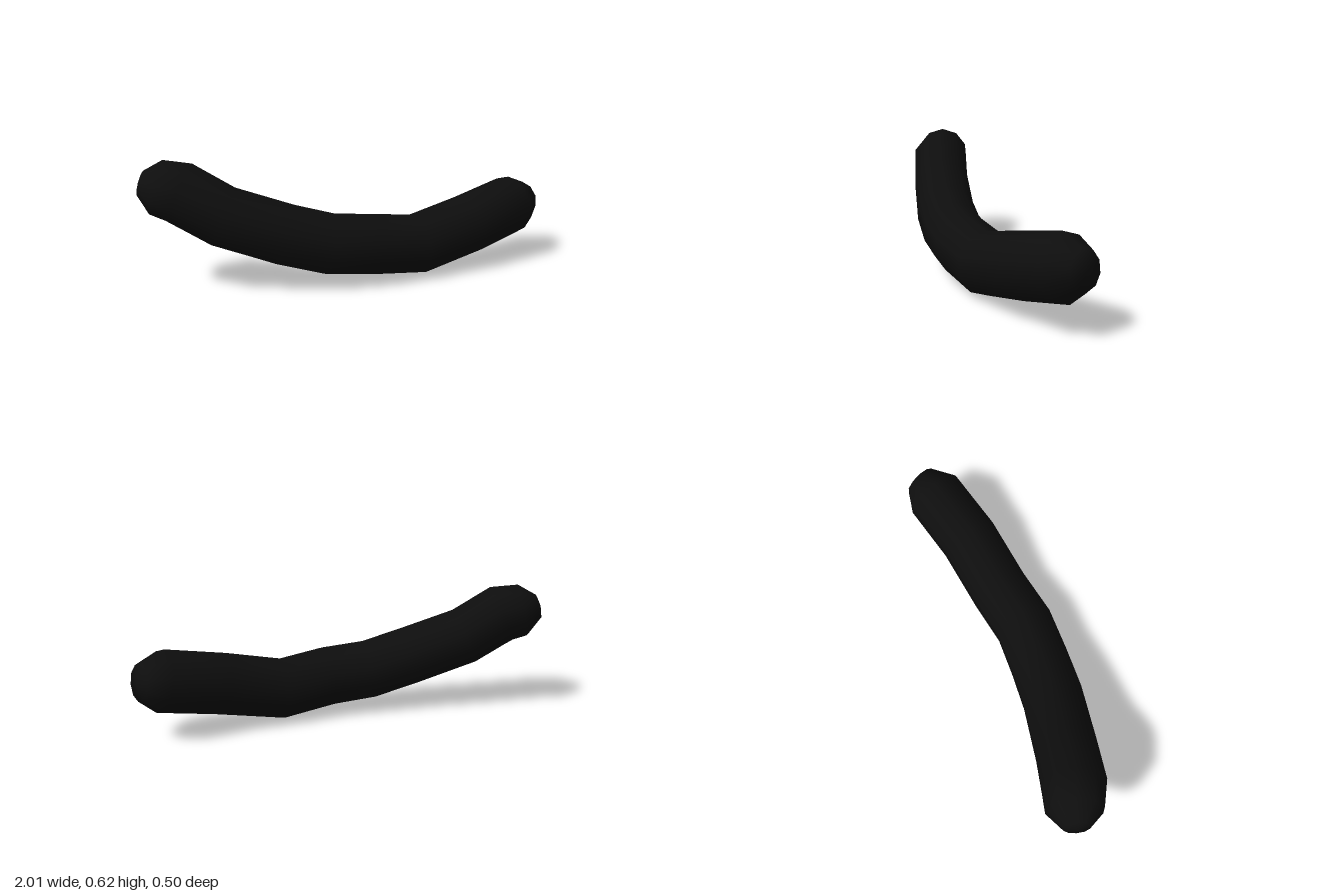
import * as THREE from 'three';

const SIDES = 10;

// Centre x, y, z and radius of each cross-section, from the right tip to the left tip
const SECTIONS = [
  [-0.98, 0.51, -0.035, 0.06],
  [-0.905, 0.49, -0.015, 0.132],
  [-0.81, 0.47, 0.02, 0.148],
  [-0.625, 0.355, 0.057, 0.148],
  [-0.345, 0.258, 0.095, 0.149],
  [-0.14, 0.2, 0.102, 0.149],
  [0.07, 0.18, 0.097, 0.149],
  [0.31, 0.148, 0.045, 0.149],
  [0.6, 0.212, -0.022, 0.149],
  [0.875, 0.273, -0.122, 0.147],
  [0.966, 0.286, -0.168, 0.086],
];

// Rings square to the path, joined by quads and closed by a fan at each end
function sweep(sections) {
  const centres = sections.map(([x, y, z]) => new THREE.Vector3(x, y, z));
  const last = sections.length - 1;
  const positions = [];
  const index = [];
  const up = new THREE.Vector3(0, 1, 0);
  centres.forEach((c, i) => {
    const t = centres[Math.min(i + 1, last)].clone().sub(centres[Math.max(i - 1, 0)]).normalize();
    const u = up.clone().addScaledVector(t, -up.dot(t)).normalize();
    const v = t.clone().cross(u);
    for (let j = 0; j < SIDES; j++) {
      const a = (j / SIDES) * Math.PI * 2;
      const p = c.clone()
        .addScaledVector(u, Math.cos(a) * sections[i][3])
        .addScaledVector(v, Math.sin(a) * sections[i][3]);
      positions.push(p.x, p.y, p.z);
    }
  });
  for (let i = 0; i < last; i++) {
    for (let j = 0; j < SIDES; j++) {
      const k = (j + 1) % SIDES;
      const a = i * SIDES + j, b = i * SIDES + k;
      index.push(a, b, a + SIDES, b, b + SIDES, a + SIDES);
    }
  }
  // Slightly domed end tips
  const startTip = positions.length / 3;
  const s = centres[0].clone().add(centres[0].clone().sub(centres[1]).setLength(0.012));
  const e = centres[last].clone().add(centres[last].clone().sub(centres[last - 1]).setLength(0.015));
  positions.push(s.x, s.y, s.z, e.x, e.y, e.z);
  for (let j = 0; j < SIDES; j++) {
    const k = (j + 1) % SIDES;
    index.push(startTip, k, j, startTip + 1, last * SIDES + j, last * SIDES + k);
  }
  const geometry = new THREE.BufferGeometry();
  geometry.setAttribute('position', new THREE.Float32BufferAttribute(positions, 3));
  geometry.setIndex(index);
  geometry.computeVertexNormals();
  return geometry;
}

export function createModel() {
  const group = new THREE.Group();
  group.name = 'curvedRoll';
  const black = new THREE.MeshStandardMaterial({ color: 0x0e0e0e });
  black.name = 'black';
  const body = new THREE.Mesh(sweep(SECTIONS), black);
  body.name = 'body';
  group.add(body);
  return group;
}
